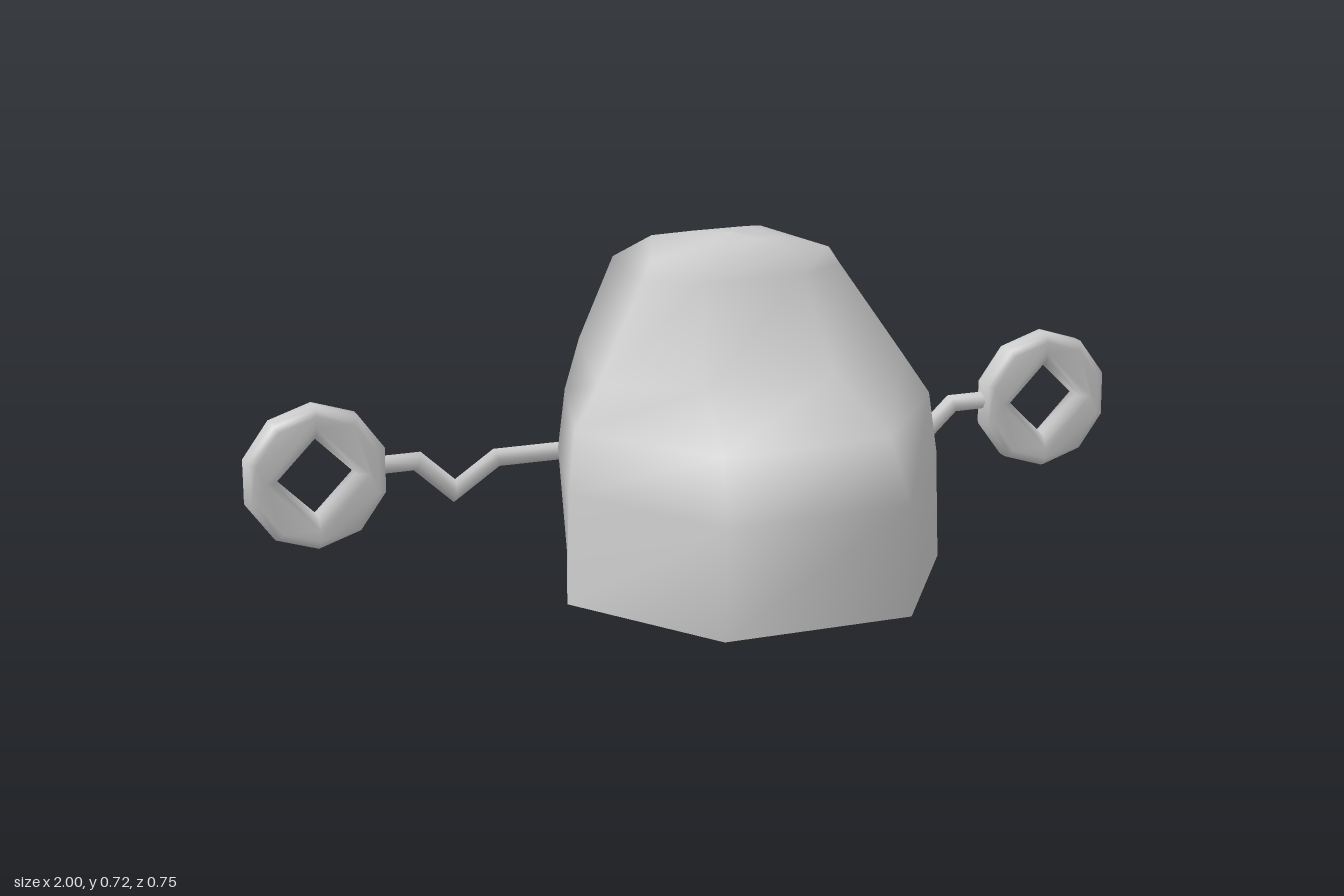
import * as THREE from 'three';
import { mergeVertices } from 'three/addons/utils/BufferGeometryUtils.js';

const grey = new THREE.MeshStandardMaterial({ color: 0xcccccc });
const greyDouble = new THREE.MeshStandardMaterial({ color: 0xcccccc, side: THREE.DoubleSide });

// Smooth skin over rings of equal point count
function loft(rings) {
  const n = rings[0].length, index = [];
  for (let i = 0; i < rings.length - 1; i++) {
    for (let j = 0; j < n; j++) {
      const a = i * n + j, b = i * n + (j + 1) % n;
      index.push(a, b, b + n, a, b + n, a + n);
    }
  }
  const g = new THREE.BufferGeometry();
  g.setAttribute('position', new THREE.Float32BufferAttribute(rings.flat(2), 3));
  g.setIndex(index);
  g.computeVertexNormals();
  return g;
}

// Six-sided body ring from its front, side and back corners, mirrored in x
function bodyRing([f, s, b]) {
  const m = ([x, y, z]) => [-x, y, z];
  return [m(f), f, s, b, m(b), m(s)];
}

function makeBody() {
  const top = [[0.1, 0.698, 0], [0.2, 0.687, -0.05], [0.125, 0.698, -0.245]];
  const apex = [0, 0.727, -0.09];
  // Rings shrinking towards the apex make the shallow crown
  const crown = (k, lift) => top.map(p => p.map((v, i) => v + (apex[i] - v) * k + (i === 1 ? lift : 0)));
  const rings = [
    [[0.205, 0.003, 0.375], [0.422, 0.003, 0.04], [0.31, 0.003, -0.29]],
    [[0.2, 0.24, 0.375], [0.415, 0.24, 0.04], [0.328, 0.24, -0.285]],
    [[0.18, 0.37, 0.315], [0.398, 0.37, 0.035], [0.312, 0.37, -0.281]],
    [[0.14, 0.457, 0.12], [0.342, 0.457, 0.02], [0.28, 0.48, -0.276]],
    [[0.11, 0.65, 0.022], [0.222, 0.65, -0.04], [0.205, 0.655, -0.266]],
    top,
    crown(0.5, 0.006),
    crown(1, 0),
  ];
  const body = new THREE.Mesh(loft(rings.map(bodyRing)), greyDouble);
  body.name = 'body';
  return body;
}

// The rod assembly runs slightly askew behind the body
const rodZ = x => -0.332 + 0.015 * x;

function makeRod() {
  const half = [[0.45, 0.217], [0.545, 0.153], [0.625, 0.228], [0.73, 0.228]];
  const path = [...half.map(([x, y]) => [-x, y]).reverse(), ...half].map(p => new THREE.Vector2(...p));
  const r = 0.02, sides = 8;
  const rings = path.map((p, i) => {
    // Mitred cross-section at each bend
    const d1 = p.clone().sub(path[Math.max(i - 1, 0)]).normalize();
    const d2 = path[Math.min(i + 1, path.length - 1)].clone().sub(p).normalize();
    const dir = d1.clone().add(d2).normalize();
    const stretch = r / dir.dot(d1.lengthSq() > 0 ? d1 : d2);
    return Array.from({ length: sides }, (_, j) => {
      const t = j / sides * Math.PI * 2, c = Math.cos(t) * stretch;
      return [p.x - dir.y * c, p.y + dir.x * c, rodZ(p.x) + Math.sin(t) * r];
    });
  });
  const rod = new THREE.Mesh(loft(rings), greyDouble);
  rod.name = 'bentRod';
  return rod;
}

const polygon = (n, r, start) => Array.from({ length: n }, (_, i) => {
  const t = start + i / n * Math.PI * 2;
  return new THREE.Vector2(Math.cos(t) * r, Math.sin(t) * r);
});

// Ten-sided ring with a diamond hole and softened edges
function makeHandle(side) {
  const bevel = 0.02;
  const shape = new THREE.Shape(polygon(10, 0.137, Math.PI / 2));
  shape.holes.push(new THREE.Path(polygon(4, 0.113, 0).reverse()));
  let g = new THREE.ExtrudeGeometry(shape, {
    depth: 0.026, bevelEnabled: true, bevelSize: bevel, bevelThickness: bevel, bevelSegments: 2,
  });
  g.translate(0, 0, -0.013);
  g.deleteAttribute('normal');
  g.deleteAttribute('uv');
  g = mergeVertices(g);
  g.computeVertexNormals();
  const handle = new THREE.Mesh(g, grey);
  handle.position.set(side * 0.848, 0.22, rodZ(side * 0.848));
  handle.name = side > 0 ? 'leftHandle' : 'rightHandle';
  return handle;
}

export function createModel() {
  const model = new THREE.Group();
  model.name = 'model';
  model.add(makeBody(), makeRod(), makeHandle(1), makeHandle(-1));
  // Small block holding the middle of the rod
  const block = new THREE.Mesh(new THREE.BoxGeometry(0.07, 0.075, 0.06), grey);
  block.position.set(0, 0.217, rodZ(0));
  block.name = 'rodBlock';
  model.add(block);
  return model;
}
